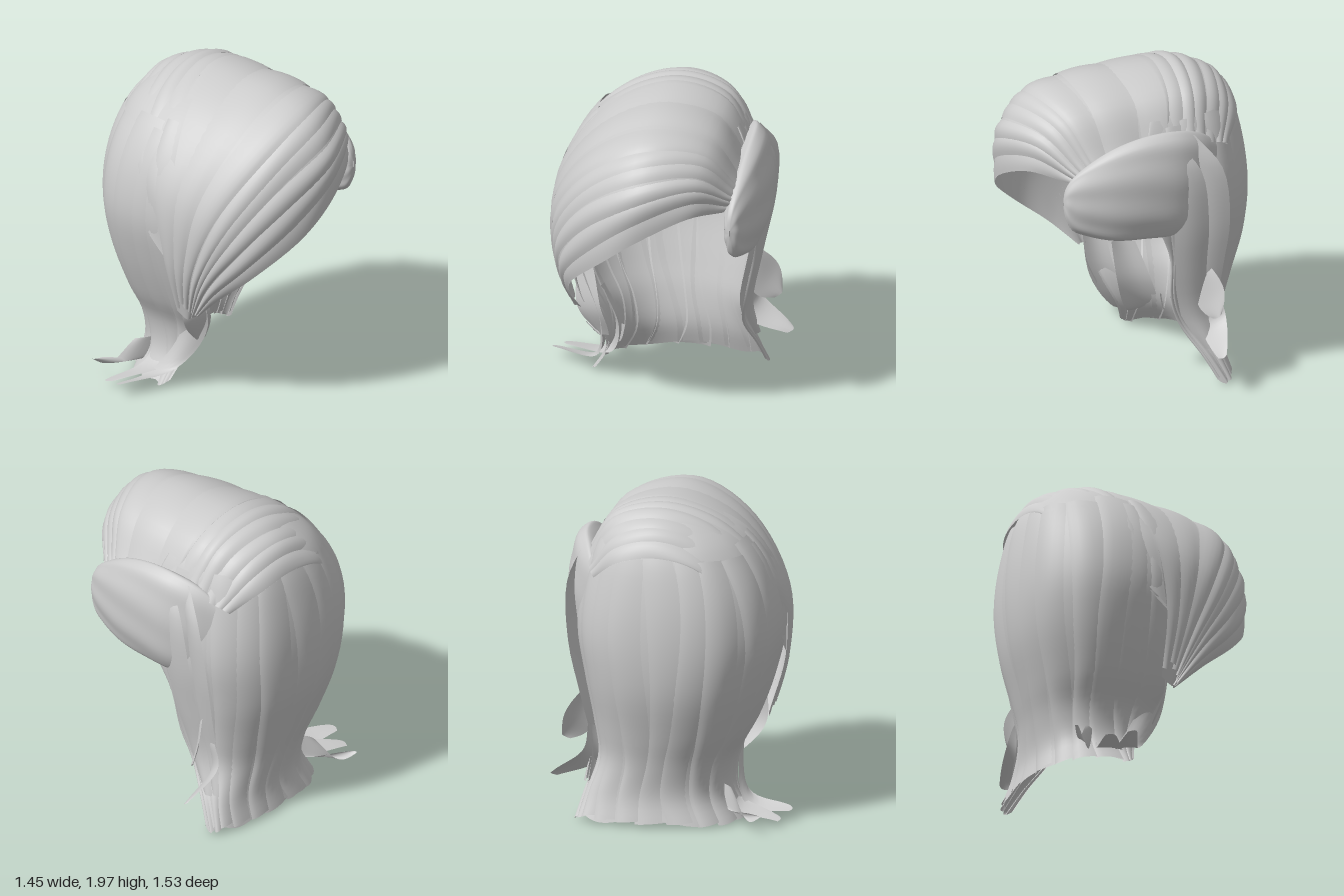
import * as THREE from 'three';

const mat = new THREE.MeshStandardMaterial({ color: 0xcccccc, side: THREE.DoubleSide });
const V = (p) => new THREE.Vector3(...p);
const clamp01 = (x) => THREE.MathUtils.clamp(x, 0, 1);

// Smooth surface through rows of points: u runs along a row, v across the rows
function surface(rows) {
  const curves = rows.map((r) => new THREE.CatmullRomCurve3(r.map(V)));
  return (u, v) => new THREE.CatmullRomCurve3(curves.map((c) => c.getPoint(u))).getPoint(v);
}

// Grid mesh from a point function f(a, b), a and b in 0..1
function patch(name, f, na, nb) {
  const pos = [], idx = [];
  for (let j = 0; j <= nb; j++) {
    for (let i = 0; i <= na; i++) pos.push(...f(i / na, j / nb).toArray());
  }
  for (let j = 0; j < nb; j++) {
    for (let i = 0; i < na; i++) {
      const p = j * (na + 1) + i, q = p + na + 1;
      idx.push(p, q, p + 1, p + 1, q, q + 1);
    }
  }
  const g = new THREE.BufferGeometry();
  g.setAttribute('position', new THREE.Float32BufferAttribute(pos, 3));
  g.setIndex(idx);
  g.computeVertexNormals();
  const m = new THREE.Mesh(g, mat);
  m.name = name;
  return m;
}

// Push a point away from the middle of the head
const core = new THREE.Vector3(0, 1.1, -0.05);
function lift(p, d) {
  const n = p.clone().sub(core);
  n.y *= p.y > core.y ? 1 : 0;
  return p.addScaledVector(n.normalize(), d);
}

// Repeatable variation in 0..1
const vary = (i) => Math.abs(Math.sin(i * 12.99 + 4.1) * 437.58) % 1;

// Back hair: y, right x, left x, back z, front z on the right, front z on the left
const sections = [
  [1.95, -0.1, 0.22, -0.42, -0.14, -0.14],
  [1.88, -0.27, 0.36, -0.55, -0.1, -0.1],
  [1.75, -0.44, 0.47, -0.66, -0.05, -0.05],
  [1.5, -0.59, 0.55, -0.735, 0, 0],
  [1.2, -0.64, 0.585, -0.765, 0, -0.05],
  [0.9, -0.58, 0.54, -0.74, 0.02, -0.16],
  [0.6, -0.47, 0.48, -0.655, 0.06, -0.18],
  [0.4, -0.37, 0.45, -0.595, 0, -0.25],
  [0.2, -0.36, 0.51, -0.57, -0.1, -0.38],
  [0.02, -0.46, 0.56, -0.61, -0.16, -0.48],
];

function backRow([y, xr, xl, zb, zr, zl]) {
  const cx = (xr + xl) / 2;
  const side = (x, zf) => {
    const zc = Math.min(-0.2, zf - 0.04);
    const arc = [0, 30, 60].map((d) => {
      const a = THREE.MathUtils.degToRad(d);
      return [cx + (x - cx) * Math.cos(a) ** 0.85, y, zc + (zb - zc) * Math.sin(a) ** 0.9];
    });
    return [[x, y, zf], ...arc];
  };
  return [...side(xl, zl), [cx, y, zb], ...side(xr, zr).reverse()];
}

function buildBack() {
  const g = new THREE.Group();
  g.name = 'backHair';
  const f = surface(sections.map(backRow));
  g.add(patch('backShell', (u, v) => f(u, v * (0.98 + 0.012 * Math.sin(u * 23))), 60, 40));
  // Broad overlapping locks from below the crown to the hem
  const n = 13;
  for (let k = 0; k < n; k++) {
    const mid = (k + 0.5 + 0.4 * (vary(k + 60) - 0.5)) / n;
    const start = 0.2 + 0.05 * vary(k + 15), end = 0.975 + 0.025 * vary(k);
    g.add(patch('backLock', (a, b) => {
      const w = ((1.2 + 0.6 * vary(k + 40)) / n) * (1 - 0.2 * b ** 8);
      const sway = 0.014 * Math.sin(b * 5 + k * 2);
      const u = clamp01(mid + sway + (a - 0.5) * w);
      const p = f(u, start + (end - start) * b - 0.012 * a * b ** 6);
      return lift(p, -0.005 + (0.012 + 0.008 * vary(k + 30)) * Math.sin(Math.PI * a ** 0.7));
    }, 7, 30));
  }
  return g;
}

// Fringe: strands swept from the left parting across the brow to the right cheek
const fringeRows = [
  [[0.47, 1.45, 0.45], [0.29, 1.475, 0.64], [0, 1.34, 0.74], [-0.22, 1.17, 0.7], [-0.45, 0.93, 0.5], [-0.5, 0.74, 0.28], [-0.47, 0.57, 0.1]],
  [[0.51, 1.52, 0.4], [0.32, 1.69, 0.58], [0, 1.66, 0.72], [-0.31, 1.47, 0.64], [-0.54, 1.14, 0.43], [-0.57, 0.86, 0.24], [-0.5, 0.57, 0.08]],
  [[0.53, 1.57, 0.3], [0.35, 1.82, 0.41], [0, 1.88, 0.52], [-0.34, 1.69, 0.47], [-0.59, 1.31, 0.3], [-0.61, 0.93, 0.16], [-0.52, 0.56, 0.06]],
  [[0.53, 1.62, -0.15], [0.36, 1.89, -0.2], [0.04, 1.98, -0.2], [-0.34, 1.83, -0.15], [-0.62, 1.45, -0.1], [-0.64, 1, -0.03], [-0.53, 0.6, -0.01]],
];

// Crown: shorter strands crossing the top, starting along the last fringe strand
const crownRows = [
  fringeRows[3].slice(0, 6),
  [[0.52, 1.62, -0.32], [0.35, 1.88, -0.36], [0.05, 1.96, -0.38], [-0.28, 1.85, -0.36], [-0.54, 1.55, -0.32], [-0.62, 1.2, -0.28]],
  [[0.48, 1.6, -0.46], [0.31, 1.82, -0.53], [0.05, 1.89, -0.56], [-0.25, 1.78, -0.53], [-0.5, 1.5, -0.47], [-0.58, 1.2, -0.45]],
  [[0.44, 1.56, -0.55], [0.28, 1.69, -0.66], [0.05, 1.74, -0.68], [-0.2, 1.68, -0.67], [-0.42, 1.45, -0.61], [-0.52, 1.2, -0.57]],
];

// A shell with n stepped bands laid over it
function bandedSheet(name, rows, n) {
  const g = new THREE.Group();
  g.name = name;
  const f = surface(rows);
  g.add(patch(name + 'Shell', f, 40, 24));
  for (let k = 0; k < n; k++) {
    g.add(patch(name + 'Band', (a, b) => {
      const wave = k ? 0.02 * Math.sin(a * 4 + k * 2) : 0;
      const v = clamp01((k + b * 1.15) / n + wave);
      const rise = (0.01 + 0.012 * vary(k)) * Math.sin(Math.PI * (0.12 + b * 0.88));
      return lift(f(a * (0.95 + 0.05 * vary(k + 9)), v), rise);
    }, 36, 6));
  }
  return g;
}

// Side roll on the left: z, centre x, centre y, half width, half height
const rollSections = [
  [0.505, 0.52, 1.34, 0.004, 0.02],
  [0.49, 0.525, 1.34, 0.035, 0.1],
  [0.45, 0.53, 1.335, 0.055, 0.17],
  [0.36, 0.54, 1.35, 0.08, 0.23],
  [0.2, 0.555, 1.375, 0.105, 0.3],
  [0, 0.56, 1.4, 0.115, 0.335],
  [-0.2, 0.545, 1.4, 0.11, 0.34],
  [-0.36, 0.5, 1.4, 0.085, 0.29],
  [-0.48, 0.46, 1.4, 0.03, 0.2],
];

function buildRoll() {
  const ring = ([z, x, y, w, h]) => Array.from({ length: 13 }, (_, i) => {
    const a = (i / 12 + 0.5) * Math.PI * 2;
    return [x + w * Math.cos(a), y + h * Math.sin(a), z];
  });
  const f = surface(rollSections.map(ring));
  return patch('sideRoll', (u, v) => {
    const p = f(u, v);
    p.x += 0.004 * Math.sin(u * 50 + v * 9) * Math.sin(Math.PI * v);
    return p;
  }, 60, 32);
}

// Ribbon along a path, widened along dir by half width w
function ribbon(name, pts, dir, w) {
  const c = new THREE.CatmullRomCurve3(pts.map(V)), d = V(dir).normalize();
  return patch(name, (a, b) => {
    const width = w * (0.75 + 0.4 * Math.sin(Math.PI * b)) * (1 - 0.5 * b ** 5);
    const p = c.getPoint(b).addScaledVector(d, (a * 2 - 1) * width);
    p.x += Math.sign(p.x) * 0.02 * Math.sin(Math.PI * a);
    return p;
  }, 6, 20);
}

// Strands leaving the roll and falling down the left side
const sidePath = [[0.55, 1.7, -0.1], [0.62, 1.5, -0.23], [0.6, 1.15, -0.27], [0.53, 0.8, -0.28], [0.47, 0.48, -0.33], [0.5, 0.25, -0.43]];

// Flicked ends: path, widening direction, half width
const flicks = [
  [[[-0.46, 0.78, 0.03], [-0.36, 0.4, -0.02], [-0.44, 0.12, -0.2], [-0.71, 0.1, -0.3]], [0.1, 0.3, 1], 0.09],
  [[[-0.38, 0.6, -0.15], [-0.3, 0.35, -0.2], [-0.36, 0.14, -0.27], [-0.66, 0.07, -0.42]], [0.2, 0.2, 1], 0.11],
  [[[-0.34, 0.25, -0.4], [-0.42, 0.1, -0.48], [-0.56, 0.13, -0.6]], [0.7, 0.1, 0.7], 0.09],
  [[[-0.46, 0.8, 0.02], [-0.43, 0.55, 0.06], [-0.34, 0.36, 0.02]], [1, 0.2, 0.5], 0.08],
  [[[0.46, 0.6, -0.42], [0.47, 0.42, -0.45], [0.7, 0.28, -0.44]], [0.4, 0.5, -0.7], 0.08],
  [[[0.5, 0.75, -0.38], [0.56, 0.62, -0.41], [0.63, 0.52, -0.43]], [0.5, 0.6, -0.5], 0.1],
];

function buildLooseLocks() {
  const g = new THREE.Group();
  g.name = 'looseLocks';
  for (const k of [0, 1]) {
    const path = sidePath.map(([x, y, z]) => [x - 0.03 * k, y, z - 0.14 * k * Math.min(1, y)]);
    g.add(ribbon('sideLock', path, [0.1 + 0.2 * k, 0, -1], 0.1));
  }
  for (const [path, dir, w] of flicks) g.add(ribbon('flick', path, dir, w));
  return g;
}

export function createModel() {
  const model = new THREE.Group();
  model.name = 'hair';
  model.add(
    buildBack(),
    bandedSheet('fringe', fringeRows, 8),
    bandedSheet('crown', crownRows, 6),
    buildRoll(),
    buildLooseLocks(),
  );
  return model;
}
